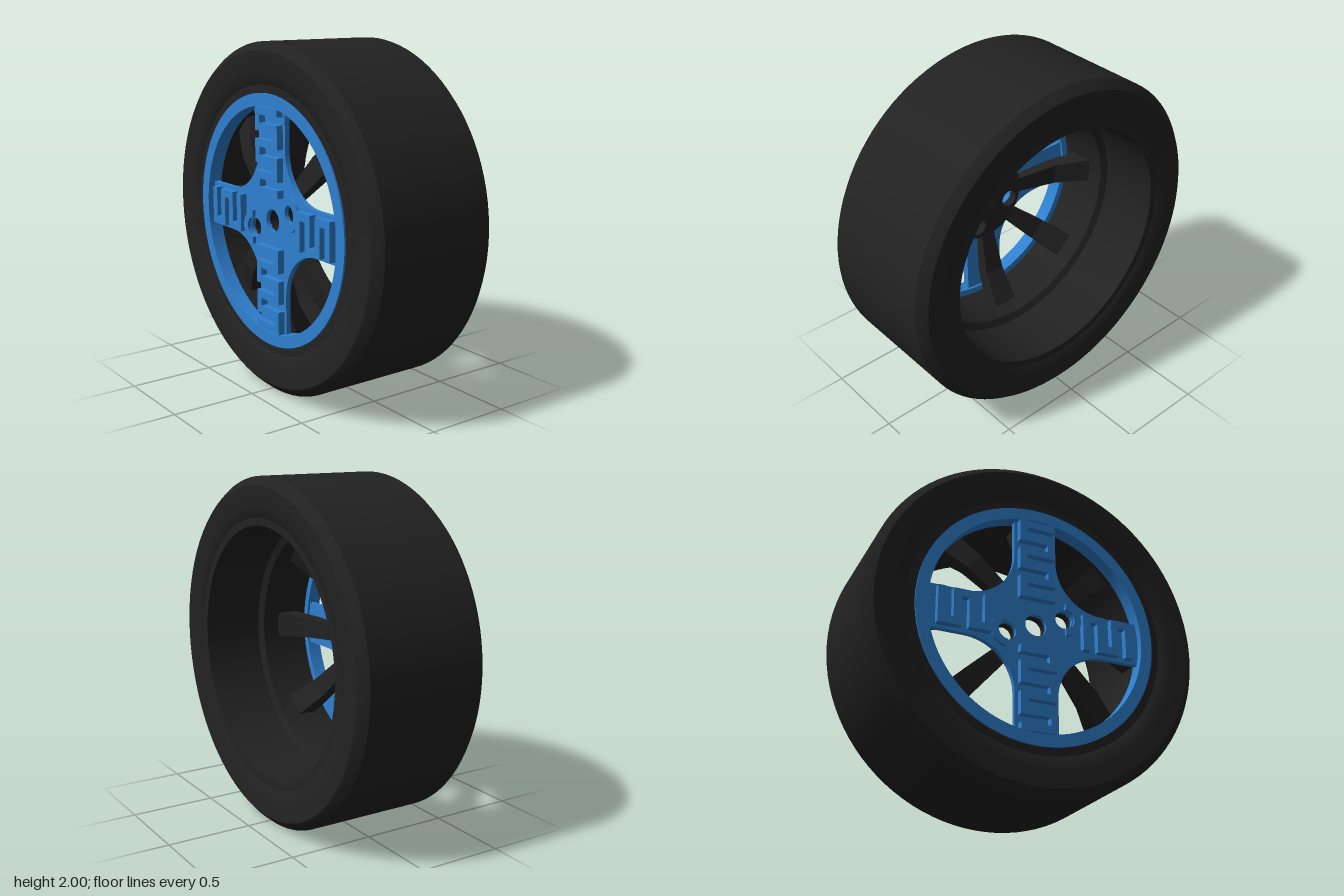
import * as THREE from 'three';
import { toCreasedNormals } from 'three/addons/utils/BufferGeometryUtils.js';

const black = new THREE.MeshStandardMaterial({ color: 0x222222 });
const blue = new THREE.MeshStandardMaterial({ color: 0x2f80d0 });

// Closed [radius, z] profile, front-to-back axis along z
function ringGeometry(profile) {
  const pts = [...profile, profile[0]].map(([r, z]) => new THREE.Vector2(r, z));
  return toCreasedNormals(new THREE.LatheGeometry(pts, 96).rotateX(Math.PI / 2), 0.6);
}

function plateGeometry(shape, back, front) {
  const geo = new THREE.ExtrudeGeometry(shape, { depth: front - back, bevelEnabled: false, curveSegments: 32 });
  return toCreasedNormals(geo.translate(0, 0, back), 0.6);
}

function punch(shape, x, y, r) {
  shape.holes.push(new THREE.Path().absarc(x, y, r, 0, Math.PI * 2, true));
}

export function createModel() {
  const model = new THREE.Group();
  model.name = 'wheel';
  const wheel = new THREE.Group();
  wheel.name = 'wheelAssembly';
  wheel.position.y = 1;
  model.add(wheel);

  function add(name, geometry, material, parent = wheel) {
    const mesh = new THREE.Mesh(geometry, material);
    mesh.name = name;
    parent.add(mesh);
    return mesh;
  }

  // Tyre with chamfered shoulders and slightly dished sidewalls
  add('tyre', ringGeometry([
    [0.75, -0.36], [0.78, -0.385], [0.85, -0.395], [0.95, -0.4], [0.975, -0.38], [1, -0.35],
    [1, 0.35], [0.975, 0.38], [0.95, 0.4], [0.85, 0.395], [0.78, 0.385], [0.75, 0.36],
  ]), black);

  // Hollow rim barrel, stepped halfway
  add('rimBarrel', ringGeometry([
    [0.73, -0.38], [0.775, -0.38], [0.775, 0.375], [0.72, 0.375],
    [0.72, 0.31], [0.69, 0.31], [0.69, 0], [0.73, -0.02],
  ]), black);

  // Hub disc with a centre bore and four bolt holes
  const boltAngle = 0.37, boltRadius = 0.187;
  const hub = new THREE.Shape().absarc(0, 0, 0.26, 0, Math.PI * 2);
  punch(hub, 0, 0, 0.065);
  for (let i = 0; i < 4; i++) {
    const a = boltAngle + i * Math.PI / 2;
    punch(hub, boltRadius * Math.cos(a), boltRadius * Math.sin(a), 0.053);
  }
  add('hub', plateGeometry(hub, 0.27, 0.32), black);

  // Eight spokes, bent backwards and flared towards the barrel
  const side = new THREE.Shape([
    [0.24, 0.27], [0.5, 0.21], [0.71, 0.09], [0.71, 0.22], [0.5, 0.29], [0.24, 0.32],
  ].map(([r, z]) => new THREE.Vector2(r, z)));
  const spokeGeo = new THREE.ExtrudeGeometry(side, { depth: 1, bevelEnabled: false });
  spokeGeo.translate(0, 0, -0.5).rotateX(Math.PI / 2);
  const p = spokeGeo.attributes.position;
  for (let i = 0; i < p.count; i++) {
    p.setY(i, p.getY(i) * (0.06 + 0.13 * p.getX(i)));
  }
  spokeGeo.computeVertexNormals();
  for (let i = 0; i < 8; i++) {
    add('spoke', spokeGeo, black).rotation.z = i * Math.PI / 4;
  }

  // Blue trim ring
  add('trimRing', ringGeometry([[0.65, 0.3], [0.72, 0.3], [0.72, 0.385], [0.65, 0.385]]), blue);

  // Cross-shaped cover with concave webs between the arms
  const outline = [];
  for (let k = 0; k < 4; k++) {
    const local = [[0.67, -0.13], [0.67, 0.13]];
    for (let j = 0; j <= 16; j++) {
      const a = -Math.PI / 2 * (1 + j / 16);
      local.push([0.42 + 0.29 * Math.cos(a), 0.42 + 0.29 * Math.sin(a)]);
    }
    for (const [x, y] of local) {
      outline.push(new THREE.Vector2(x, y).rotateAround(new THREE.Vector2(), k * Math.PI / 2));
    }
  }
  const cover = new THREE.Shape(outline);
  punch(cover, 0, 0, 0.065);
  const bx = boltRadius * Math.cos(boltAngle), by = boltRadius * Math.sin(boltAngle);
  for (const s of [1, -1]) punch(cover, s * bx, s * by, 0.053);
  add('crossCover', plateGeometry(cover, 0.315, 0.345), blue);

  // Raised meander along each arm
  const pitch = 0.09, bar = 0.045, half = 0.11;
  [0.3, 0.17, 0.3, 0.17].forEach((start, k) => {
    const arm = new THREE.Group();
    arm.name = 'armMeander';
    arm.rotation.z = k * Math.PI / 2;
    wheel.add(arm);
    const count = Math.floor((0.64 - start) / pitch) + 1;
    for (let i = 0; i < count; i++) {
      const x = start + i * pitch;
      add('meanderBar', new THREE.BoxGeometry(bar, half * 2, 0.04).translate(x, 0, 0.364), blue, arm);
      if (i < count - 1) {
        const y = (i % 2 ? -1 : 1) * (half - bar / 2);
        add('meanderLink', new THREE.BoxGeometry(pitch - bar, bar, 0.04)
          .translate(x + pitch / 2, y, 0.364), blue, arm);
      }
    }
  });

  // Raised half collars outside the two open bolt holes
  for (const turn of [0, Math.PI]) {
    const collar = new THREE.Shape();
    collar.absarc(bx, by, 0.1, -1.5, 1.5, false);
    collar.absarc(bx, by, 0.058, 1.5, -1.5, true);
    add('boltCollar', plateGeometry(collar, 0.34, 0.365), blue).rotation.z = turn;
  }
  return model;
}
